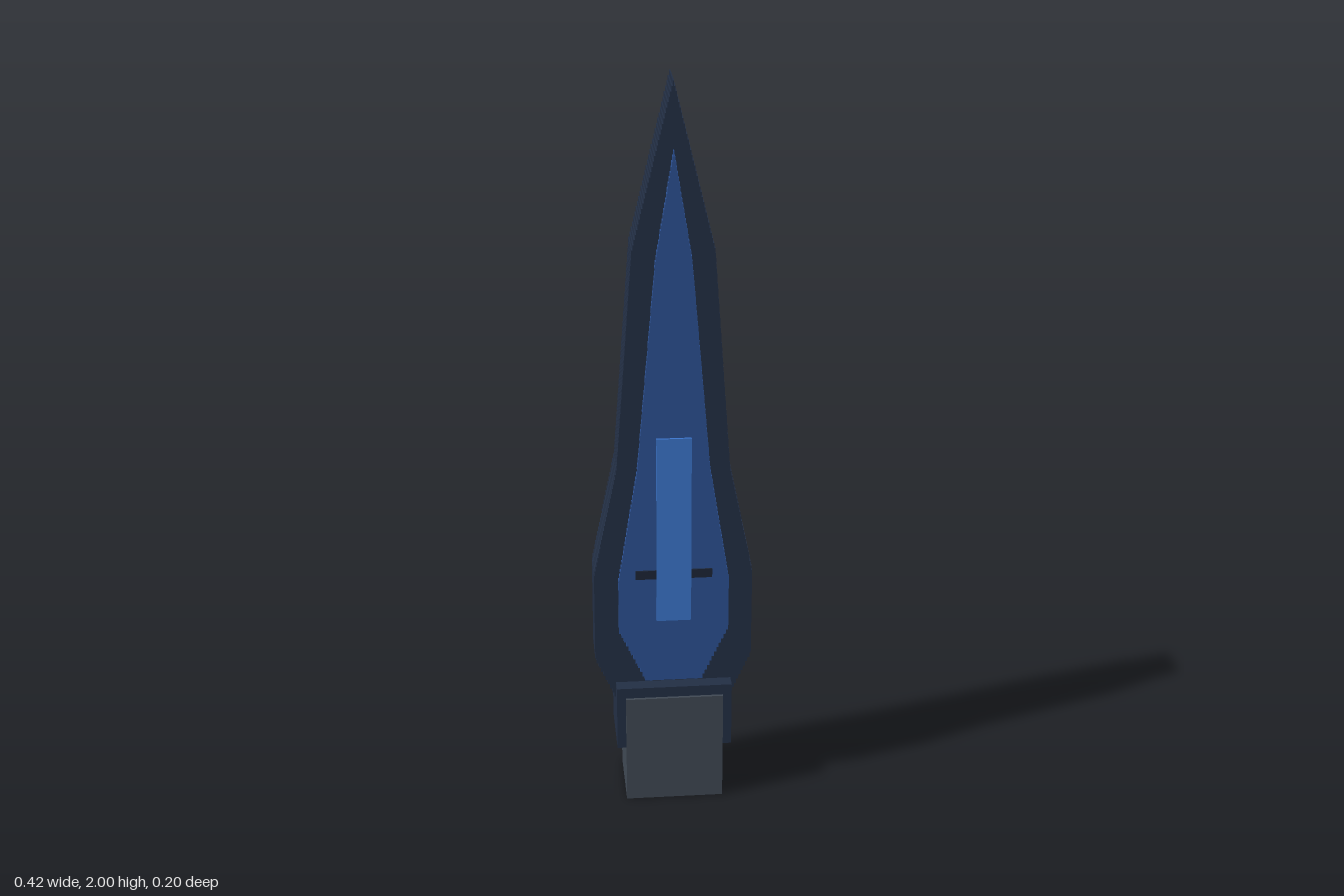
import * as THREE from 'three';

const paint = (name, color) => {
  const m = new THREE.MeshStandardMaterial({ color });
  m.name = name;
  return m;
};

// Half-width at height y, from [y, halfWidth] pairs
function widthAt(profile, y) {
  for (let i = 1; i < profile.length; i++) {
    const [y0, w0] = profile[i - 1], [y1, w1] = profile[i];
    if (y <= y1) return w0 + (w1 - w0) * (y - y0) / (y1 - y0);
  }
  return 0;
}

// Symmetric slab whose outline climbs in small stair steps
function steppedSlab(profile, halfDepth, rows) {
  const bottom = profile[0][0], top = profile[profile.length - 1][0];
  const h = (top - bottom) / rows;
  const right = [], left = [];
  for (let i = 0; i < rows; i++) {
    const y = bottom + i * h;
    const w = widthAt(profile, y + h / 2);
    right.push(new THREE.Vector2(w, y), new THREE.Vector2(w, y + h));
    left.unshift(new THREE.Vector2(-w, y + h), new THREE.Vector2(-w, y));
  }
  const geometry = new THREE.ExtrudeGeometry(new THREE.Shape([...right, ...left]),
    { depth: halfDepth * 2, bevelEnabled: false });
  return geometry.translate(0, 0, -halfDepth);
}

export function createModel() {
  const group = new THREE.Group();
  const navy = paint('dark navy', 0x222e44);
  const blue = paint('deep blue', 0x2c5193);
  const bright = paint('bright blue', 0x3b75cc);
  const grey = paint('slate grey', 0x3f4853);
  const black = paint('dark line', 0x1c2536);

  const add = (name, geometry, material) => {
    const mesh = new THREE.Mesh(geometry, material);
    mesh.name = name;
    group.add(mesh);
    return mesh;
  };
  const box = (name, halfX, y0, y1, halfZ, material, z = 0) =>
    add(name, new THREE.BoxGeometry(halfX * 2, y1 - y0, halfZ * 2), material)
      .position.set(0, (y0 + y1) / 2, z);

  // Handle and collar
  box('handle', 0.132, 0, 0.315, 0.1, grey);
  box('collar', 0.156, 0.16, 0.345, 0.092, navy);

  // Blade and the raised core showing on both faces
  add('blade', steppedSlab([[0.3, 0.157], [0.42, 0.211], [0.67, 0.211], [0.98, 0.148],
    [1.57, 0.105], [2, 0]], 0.054, 128), navy);
  add('bladeCore', steppedSlab([[0.355, 0.075], [0.51, 0.147], [0.655, 0.147], [0.98, 0.095],
    [1.55, 0.046], [1.83, 0]], 0.069, 110), blue);

  // Inlaid strip and cross line on each face
  for (const side of [1, -1]) {
    box('brightStrip', 0.046, 0.54, 1.07, 0.004, bright, side * 0.071);
    box('crossLine', 0.102, 0.665, 0.69, 0.003, black, side * 0.07);
  }
  return group;
}
